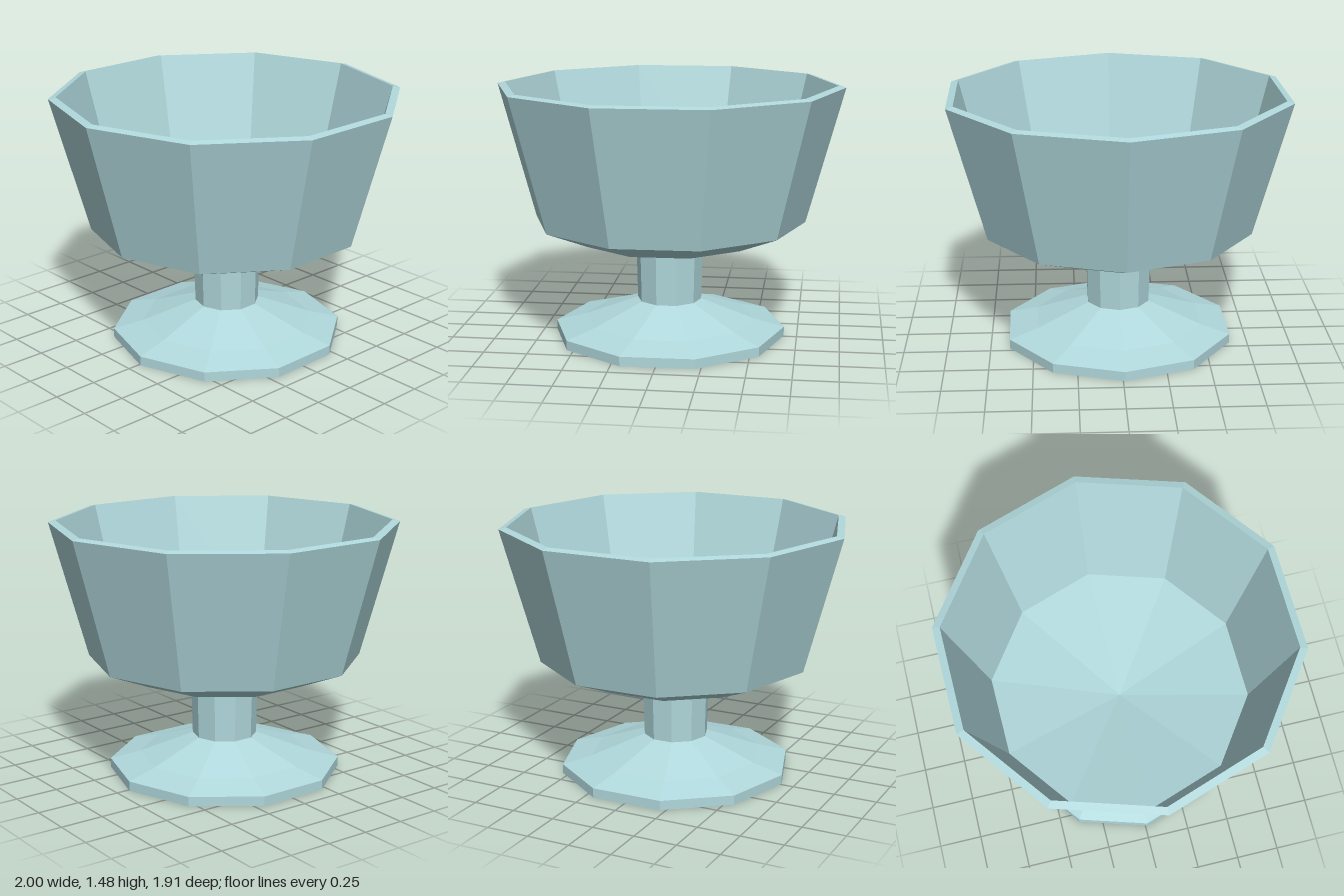
import * as THREE from 'three';

const SIDES = 10;
const START = THREE.MathUtils.degToRad(90.9); // slight twist of the ten corners

export function createModel() {
  const group = new THREE.Group();
  group.name = 'goblet';
  const material = new THREE.MeshStandardMaterial({ color: 0xb0d8dc, flatShading: true, side: THREE.DoubleSide });

  // Ten-sided turned part from [radius, height] pairs, listed bottom to top on the outside
  function turned(name, profile) {
    const points = profile.map(([r, y]) => new THREE.Vector2(r, y));
    const mesh = new THREE.Mesh(new THREE.LatheGeometry(points, SIDES, START), material);
    mesh.name = name;
    group.add(mesh);
  }

  // Flat-bottomed foot with a low rim, sloping up to the stem
  turned('foot', [[0, 0], [0.675, 0], [0.675, 0.055], [0.5, 0.1], [0.187, 0.215]]);

  // Short stem, slightly wider at the top
  turned('stem', [[0.187, 0.215], [0.195, 0.53]]);

  // Bowl: shallow underside, flared wall, thin rim, inner wall and dished floor
  turned('bowl', [
    [0.195, 0.53], [0.53, 0.585], [0.787, 0.69], [1, 1.47],
    [0.957, 1.48], [0.75, 0.7], [0, 0.57],
  ]);

  return group;
}
